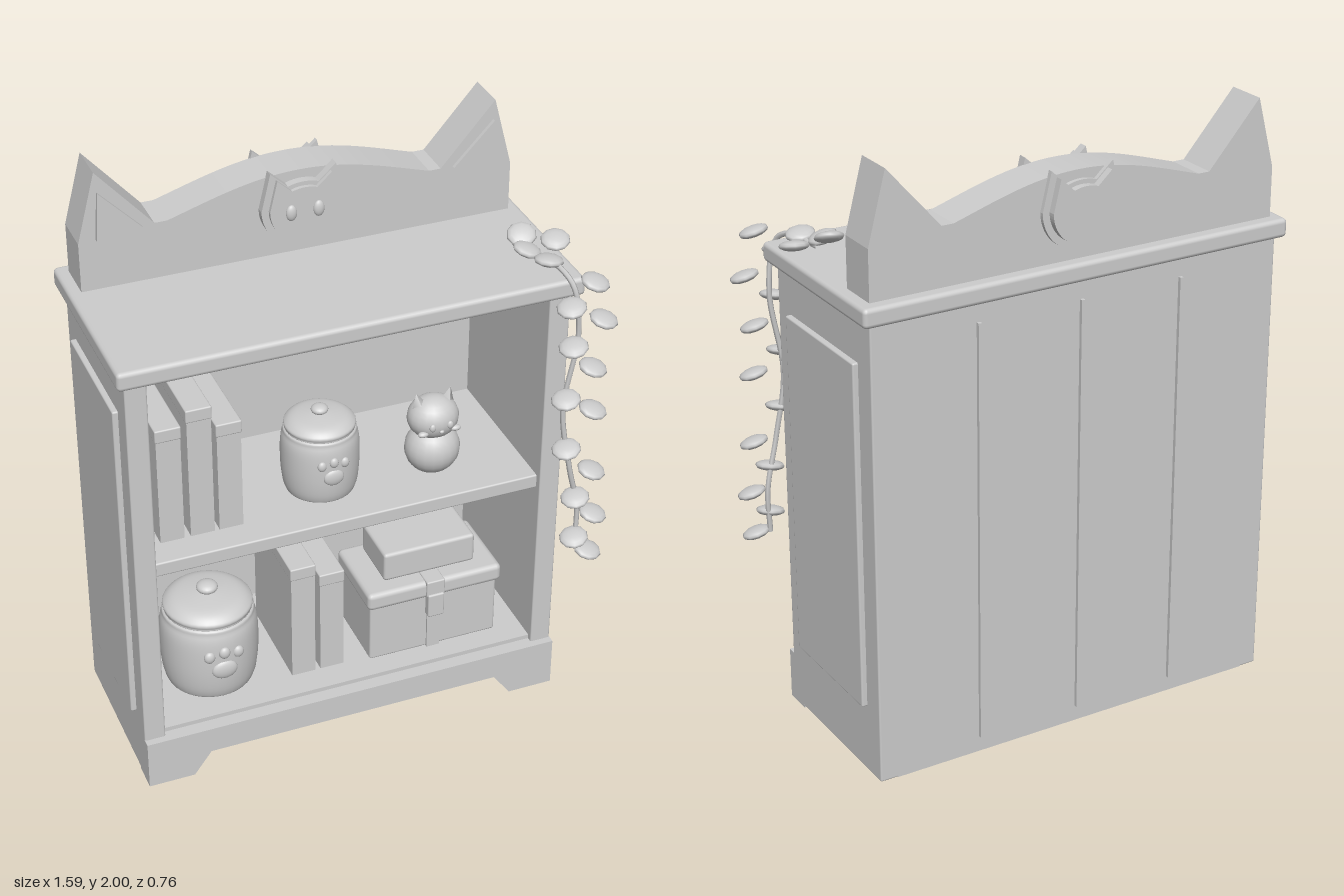
import * as THREE from 'three';
import { RoundedBoxGeometry } from 'three/addons/geometries/RoundedBoxGeometry.js';

const CX = -0.05; // cabinet centre line

export function createModel() {
  const root = new THREE.Group();
  root.name = 'catBookcase';
  const grey = new THREE.MeshStandardMaterial({ color: 0xcccccc });
  grey.name = 'light grey';

  const add = (name, geo, parent = root) => {
    const m = new THREE.Mesh(geo, grey);
    m.name = name;
    parent.add(m);
    return m;
  };
  const group = (name, x = 0, y = 0, z = 0) => {
    const g = new THREE.Group();
    g.name = name;
    g.position.set(x, y, z);
    root.add(g);
    return g;
  };
  // box from its limits, with optional rounded edges
  const box = (name, x0, x1, y0, y1, z0, z1, r = 0, parent = root) => {
    const s = [x1 - x0, y1 - y0, z1 - z0];
    const geo = r ? new RoundedBoxGeometry(...s, 2, r) : new THREE.BoxGeometry(...s);
    const m = add(name, geo, parent);
    m.position.set((x0 + x1) / 2, (y0 + y1) / 2, (z0 + z1) / 2);
    return m;
  };
  // ellipsoid
  const blob = (name, x, y, z, rx, ry, rz, parent = root, w = 20, h = 14) => {
    const m = add(name, new THREE.SphereGeometry(1, w, h), parent);
    m.position.set(x, y, z);
    m.scale.set(rx, ry, rz);
    return m;
  };
  // flat outline given thickness between z0 and z1
  const plate = (name, shape, z0, z1) => {
    const m = add(name, new THREE.ExtrudeGeometry(shape, { depth: z1 - z0, bevelEnabled: false, curveSegments: 20 }));
    m.position.z = z0;
    return m;
  };
  const polygon = pts => new THREE.Shape(pts.map(p => new THREE.Vector2(...p)));

  // carcass
  for (const s of [-1, 1]) {
    const a = CX + s * 0.65, b = CX + s * 0.72;
    box('sidePanel', Math.min(a, b), Math.max(a, b), 0.005, 1.545, -0.36, 0.24, 0.006);
    const p = CX + s * 0.725;
    box('raisedSidePanel', p - 0.013, p + 0.013, 0.24, 1.4, -0.28, 0.16, 0.006);
  }
  box('backPanel', CX - 0.66, CX + 0.66, 0.005, 1.545, -0.36, -0.335);
  for (const x of [-0.36, 0, 0.36])
    box('backBatten', CX + x - 0.006, CX + x + 0.006, 0.06, 1.48, -0.372, -0.355);
  box('bottomShelf', CX - 0.66, CX + 0.66, 0.14, 0.19, -0.34, 0.22);
  box('middleShelf', CX - 0.655, CX + 0.655, 0.8, 0.85, -0.34, 0.215, 0.006);
  box('topBoard', CX - 0.75, CX + 0.75, 1.542, 1.605, -0.385, 0.28, 0.015);
  // footed plinth
  plate('plinth', polygon([
    [CX - 0.72, 0], [CX - 0.565, 0], [CX - 0.505, 0.082], [CX + 0.505, 0.082],
    [CX + 0.565, 0], [CX + 0.72, 0], [CX + 0.72, 0.175], [CX - 0.72, 0.175]]), 0.17, 0.265);

  // headboard with ears and a curved crest
  const crest = new THREE.Shape();
  crest.moveTo(CX - 0.71, 1.6);
  crest.lineTo(CX + 0.71, 1.6);
  crest.lineTo(CX + 0.71, 1.77);
  crest.lineTo(CX + 0.65, 2);
  crest.lineTo(CX + 0.47, 1.795);
  crest.lineTo(CX + 0.43, 1.795);
  crest.bezierCurveTo(CX + 0.28, 1.84, CX + 0.16, 1.885, CX, 1.885);
  crest.bezierCurveTo(CX - 0.16, 1.885, CX - 0.28, 1.84, CX - 0.43, 1.795);
  crest.lineTo(CX - 0.47, 1.795);
  crest.lineTo(CX - 0.65, 2);
  crest.lineTo(CX - 0.71, 1.77);
  plate('headboard', crest, -0.342, -0.205);
  for (const s of [-1, 1]) {
    const tri = [[CX + s * 0.645, 1.935], [CX + s * 0.51, 1.795], [CX + s * 0.655, 1.775]];
    plate('innerEar', polygon(tri), -0.206, -0.192);
  }

  // cat head emblem on both faces of the headboard
  const head = k => {
    const p = (x, y) => [CX + x * k, 1.775 + y * k];
    const s = new THREE.Shape();
    s.moveTo(...p(-0.137, 0));
    s.lineTo(...p(-0.107, 0.125));
    s.lineTo(...p(-0.05, 0.073));
    s.quadraticCurveTo(...p(0, 0.09), ...p(0.05, 0.073));
    s.lineTo(...p(0.107, 0.125));
    s.lineTo(...p(0.137, 0));
    s.absarc(...p(0, 0), 0.137 * k, 0, -Math.PI, true);
    return s;
  };
  plate('emblemRim', head(1), -0.207, -0.178);
  plate('emblemFace', head(0.83), -0.18, -0.165);
  plate('backEmblemRim', head(1), -0.356, -0.34);
  plate('backEmblemFace', head(0.83), -0.38, -0.354);
  for (const s of [-1, 1]) blob('emblemEye', CX + s * 0.045, 1.763, -0.164, 0.018, 0.027, 0.012);

  // books with overhanging top bands
  const book = (x0, x1, y0, y1, z0, z1) => {
    box('book', x0 + 0.003, x1 - 0.003, y0, y1 - 0.03, z0 + 0.004, z1 - 0.004);
    box('bookTop', x0, x1, y1 - 0.045, y1, z0, z1, 0.005);
  };
  [[-0.65, -0.565, 1.27], [-0.55, -0.465, 1.32], [-0.455, -0.37, 1.245]]
    .forEach(([a, b, h]) => book(a, b, 0.85, h, -0.27, 0.12));
  [[-0.223, -0.135, 0.63], [-0.123, -0.035, 0.58]]
    .forEach(([a, b, h]) => book(a, b, 0.19, h, -0.23, 0.13));

  // lidded jars with a paw print
  const lathe = pts => new THREE.LatheGeometry(new THREE.SplineCurve(pts.map(p => new THREE.Vector2(...p))).getPoints(36), 36);
  const jar = (x, y, z, k, ky) => {
    const g = group('jar', x, y, z);
    g.scale.set(k, ky, k);
    add('jarBody', lathe([[0.0001, 0], [0.095, 0], [0.116, 0.015], [0.126, 0.08], [0.127, 0.17], [0.12, 0.215], [0.105, 0.235], [0.0001, 0.24]]), g);
    add('jarLid', lathe([[0.0001, 0.228], [0.1, 0.228], [0.114, 0.238], [0.112, 0.253], [0.08, 0.272], [0.0001, 0.283]]), g);
    blob('lidKnob', 0, 0.29, 0, 0.028, 0.016, 0.028, g);
    blob('pawPad', 0, 0.106, 0.124, 0.034, 0.029, 0.012, g);
    for (const i of [-1, 0, 1])
      blob('pawToe', i * 0.038, 0.153 + (i ? 0 : 0.01), i ? 0.12 : 0.126, 0.015, 0.018, 0.011, g);
  };
  jar(-0.07, 0.85, 0, 1, 1);
  jar(-0.465, 0.19, 0, 1.28, 1.22);

  // cat figurine
  const cat = group('catFigurine', 0.3, 0.85, 0.05);
  blob('catBody', 0, 0.087, 0, 0.092, 0.09, 0.085, cat);
  blob('catHead', 0, 0.205, 0, 0.086, 0.074, 0.076, cat);
  for (const s of [-1, 1]) {
    const ear = add('catEar', new THREE.ConeGeometry(0.03, 0.06, 4), cat);
    ear.position.set(s * 0.052, 0.272, 0);
    ear.rotation.z = -s * 0.25;
    blob('catEye', s * 0.03, 0.205, 0.07, 0.011, 0.014, 0.008, cat);
    blob('catCheek', s * 0.056, 0.178, 0.055, 0.018, 0.01, 0.012, cat);
  }
  blob('catNose', 0, 0.187, 0.074, 0.008, 0.006, 0.006, cat);

  // stacked boxes with a strap
  box('chest', 0.05, 0.505, 0.19, 0.41, -0.12, 0.145, 0.008);
  box('chestLid', 0.04, 0.52, 0.4, 0.466, -0.13, 0.157, 0.018);
  box('chestStrap', 0.253, 0.3, 0.19, 0.405, 0.14, 0.152);
  box('lidStrap', 0.245, 0.31, 0.41, 0.471, -0.1, 0.165, 0.005);
  box('chestClasp', 0.248, 0.306, 0.33, 0.42, 0.14, 0.172, 0.006);
  box('smallBox', 0.115, 0.44, 0.472, 0.58, -0.09, 0.107, 0.012);

  // trailing vine with alternating leaves
  const vine = new THREE.CatmullRomCurve3([
    [0.6, 1.625, 0.1], [0.63, 1.63, 0.24], [0.65, 1.59, 0.295], [0.67, 1.42, 0.305], [0.635, 1.15, 0.3],
    [0.665, 0.93, 0.31], [0.705, 0.75, 0.305], [0.7, 0.6, 0.31]].map(p => new THREE.Vector3(...p)));
  add('vine', new THREE.TubeGeometry(vine, 60, 0.009, 6));
  const leaf = (x, y, z, rx, ry, rz) => {
    const m = blob('leaf', x, y, z, 0.048, 0.017, 0.046, root, 10, 8);
    m.rotation.set(rx, ry, rz);
  };
  [[0.7, 1.62], [0.625, 1.545], [0.738, 1.48], [0.64, 1.4], [0.712, 1.31], [0.625, 1.21], [0.722, 1.15],
    [0.637, 1.02], [0.732, 0.915], [0.68, 0.82], [0.748, 0.74], [0.685, 0.66], [0.738, 0.595]]
    .forEach(([x, y], i) => leaf(x, y, 0.335, 0.22, 0, i % 2 ? 0.2 : -0.22));
  leaf(0.58, 1.665, 0.06, 0.5, 0, 0.15);
  leaf(0.572, 1.645, 0.12, 0.1, 0, -0.3);
  leaf(0.68, 1.645, 0.095, 0.3, 0, 0.1);
  leaf(0.61, 1.64, 0.195, -0.1, 0, -0.15);
  return root;
}
